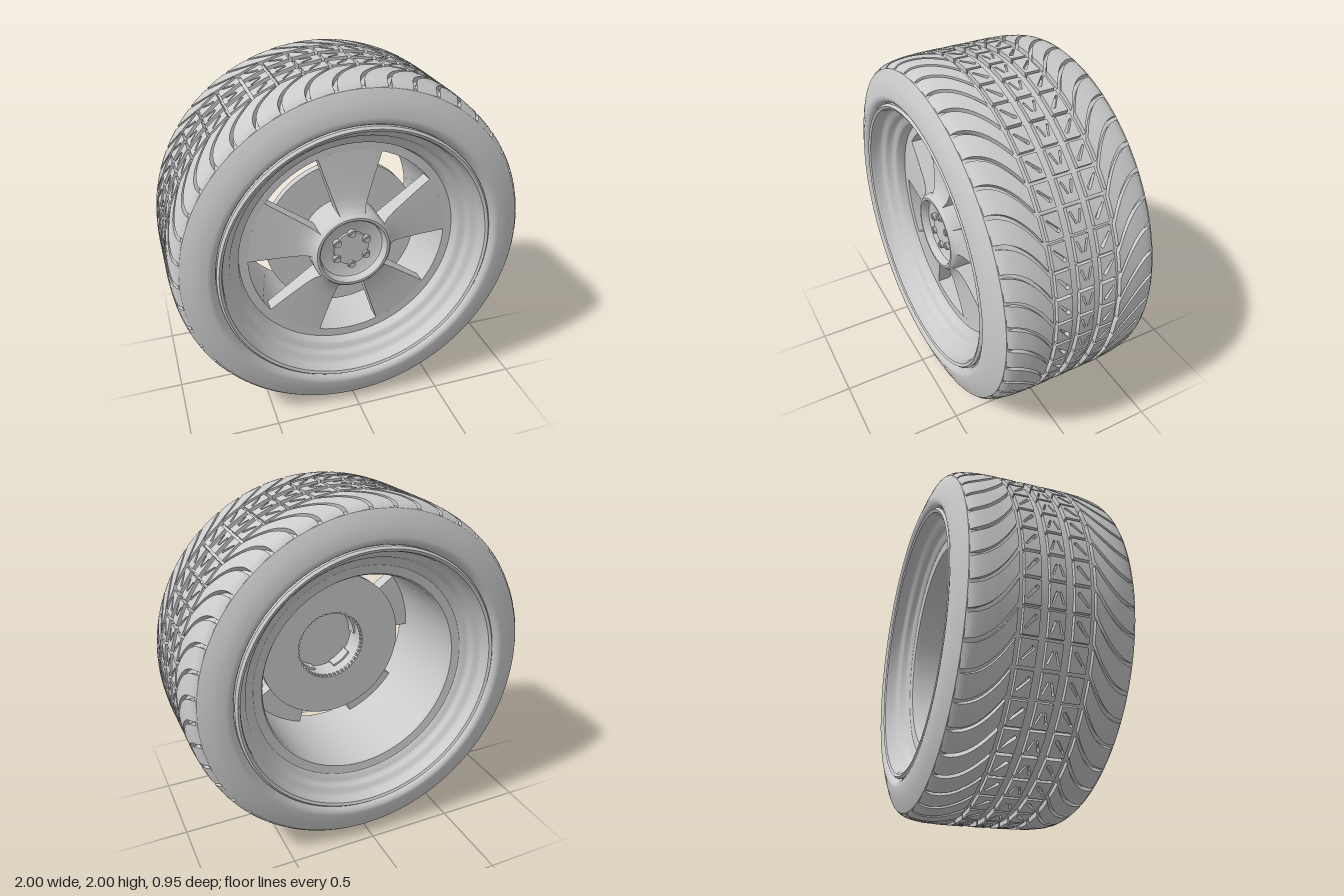
import * as THREE from 'three';
import { mergeGeometries, toCreasedNormals } from 'three/addons/utils/BufferGeometryUtils.js';

const PITCHES = 44, PITCH = (Math.PI * 2) / PITCHES, DEPTH = 0.026;
const solid = new THREE.MeshStandardMaterial({ color: 0xcccccc });
const open = new THREE.MeshStandardMaterial({ color: 0xcccccc, side: THREE.DoubleSide });

// Tread crown: [distance from the middle plane, radius]
const CROWN = [[0, 1], [0.2, 1], [0.3, 0.995], [0.36, 0.986], [0.4, 0.975], [0.425, 0.957], [0.45, 0.895], [0.475, 0.82]];
function crown(z) {
  const a = Math.abs(z);
  for (let i = 1; i < CROWN.length; i++) {
    const [z0, r0] = CROWN[i - 1], [z1, r1] = CROWN[i];
    if (a <= z1) return r0 + ((r1 - r0) * (a - z0)) / (z1 - z0);
  }
  return 0.82;
}
// Groove floor, running out at the shoulder
const floorR = (z) => crown(z) - DEPTH * THREE.MathUtils.clamp((0.43 - Math.abs(z)) / 0.05, 0, 1);

// Surface of revolution about z from [radius, z] points
function turned(points, segments = 96, start = 0, length = Math.PI * 2) {
  const g = new THREE.LatheGeometry(points.map((p) => new THREE.Vector2(p[0], p[1])), segments, start, length);
  return toCreasedNormals(g.rotateX(Math.PI / 2), 0.6);
}

// Bend a flat extrusion (x = angle, y = width, z = height) round the wheel
function wrap(geometry, turn) {
  const p = geometry.attributes.position, n = geometry.attributes.normal;
  for (let i = 0; i < p.count; i++) {
    const a = p.getX(i) + turn, c = Math.cos(a), s = Math.sin(a), r = 1 - DEPTH - 0.005 + p.getZ(i);
    const nx = n.getX(i), ny = n.getY(i), nz = n.getZ(i);
    p.setXYZ(i, r * c, r * s, p.getY(i));
    n.setXYZ(i, nz * c - nx * s, nz * s + nx * c, ny);
  }
  return geometry;
}

// Teardrop slot from one point to another
function slot(x1, y1, w1, x2, y2, w2) {
  const a = Math.atan2(y2 - y1, x2 - x1), path = new THREE.Path();
  path.absarc(x2, y2, w2, a - Math.PI / 2, a + Math.PI / 2);
  path.absarc(x1, y1, w1, a + Math.PI / 2, a + Math.PI * 1.5);
  return path.closePath();
}

// Rib block with slots
function ribBlock(z0, z1, slots, turn) {
  const h = PITCH / 2 - 0.008;
  const shape = new THREE.Shape([[-h, z0], [h, z0], [h, z1], [-h, z1]].map((p) => new THREE.Vector2(...p)));
  shape.holes.push(...slots);
  const g = new THREE.ExtrudeGeometry(shape, { depth: DEPTH + 0.005, bevelEnabled: false, curveSegments: 4 });
  return wrap(g, turn);
}

// Swept shoulder block, lofted across the tread
function shoulderBlock(side, turn) {
  const N = 12, pos = [], idx = [];
  for (let i = 0; i <= N; i++) {
    const t = side > 0 ? i / N : 1 - i / N, z = side * (0.195 + 0.235 * t);
    const mid = turn + 0.2 * (1 - (1 - t) ** 2.2), half = (PITCH - 0.03 + 0.01 * t) / 2;
    const top = crown(z), low = floorR(z) - 0.006;
    for (const [k, r] of [[-1, low], [-1, top], [0, top], [1, top], [1, low]]) {
      const a = mid + k * half;
      pos.push(r * Math.cos(a), r * Math.sin(a), z);
    }
  }
  for (let i = 0; i < N; i++) for (let j = 0; j < 4; j++) {
    const a = i * 5 + j, d = a + 5;
    idx.push(a, a + 1, d + 1, a, d + 1, d);
  }
  for (let k = 1; k < 4; k++) idx.push(0, k + 1, k, N * 5, N * 5 + k, N * 5 + k + 1);
  const g = new THREE.BufferGeometry();
  g.setAttribute('position', new THREE.Float32BufferAttribute(pos, 3));
  g.setIndex(idx);
  return toCreasedNormals(g, 0.6);
}

export function createModel() {
  const model = new THREE.Group();
  const wheel = new THREE.Group();
  wheel.name = 'wheel';
  wheel.position.y = 1;
  model.add(wheel);
  const add = (name, geometry, material = solid) => {
    const mesh = new THREE.Mesh(geometry, material);
    mesh.name = name;
    wheel.add(mesh);
  };

  // Tyre carcass
  const half = [0, 0.2, 0.3, 0.36, 0.38, 0.4, 0.425, 0.43, 0.45, 0.475].map((z) => [floorR(z), z]);
  half.push([0.8, 0.473], [0.785, 0.462], [0.775, 0.445], [0.765, 0.41]);
  const mirrored = half.slice(1).reverse().map(([r, z]) => [r, -z]);
  add('tyre', turned([...mirrored, ...half], 132));

  // Tread
  const centre = [], sideRibs = [], shoulders = [];
  for (let i = 0; i < PITCHES; i++) {
    const a = i * PITCH;
    const vee = [1, -1].map((m) => slot(0.035, m * 0.027, 0.005, -0.018, m * 0.009, 0.004));
    centre.push(ribBlock(-0.041, 0.041, vee, a));
    for (const m of [1, -1]) {
      const pin = slot(0.03, m * 0.153, 0.005, -0.025, m * 0.107, 0.01);
      sideRibs.push(ribBlock(Math.min(m * 0.085, m * 0.168), Math.max(m * 0.085, m * 0.168), [pin], a));
      shoulders.push(shoulderBlock(m, a));
    }
  }
  add('centreRib', mergeGeometries(centre));
  add('sideRibs', mergeGeometries(sideRibs));
  add('shoulderBlocks', mergeGeometries(shoulders));

  // Rim: stepped flanges either side of a deep barrel
  const flange = [
    [0.77, 0.42], [0.772, 0.455], [0.76, 0.468], [0.745, 0.46], [0.738, 0.44], [0.733, 0.405], [0.72, 0.39],
    [0.7, 0.383], [0.69, 0.37], [0.683, 0.35], [0.67, 0.34], [0.645, 0.335], [0.635, 0.325],
  ];
  const rear = flange.map(([r, z]) => [r, -z]).reverse();
  add('rim', turned([...flange, [0.625, 0.28], [0.6, 0.28], [0.575, 0.28], [0.575, -0.3], [0.585, -0.318], ...rear]), open);

  // Five spokes: turned sectors closed by flat walls
  const section = [[0.575, 0.2], [0.575, 0.28], [0.45, 0.288], [0.32, 0.3], [0.26, 0.313], [0.235, 0.33], [0.22, 0.345], [0.2, 0.345], [0.2, 0.2], [0.575, 0.2]];
  const wall = new THREE.Shape(section.map((p) => new THREE.Vector2(...p)));
  for (let k = 0; k < 5; k++) {
    const mid = Math.PI + (k * Math.PI * 2) / 5, w = Math.PI / 10;
    add('spoke', turned(section, 12, mid - w, w * 2), open);
    for (const phi of [mid - w, mid + w]) {
      const out = new THREE.Vector3(Math.sin(phi), -Math.cos(phi), 0), axis = new THREE.Vector3(0, 0, 1);
      const frame = new THREE.Matrix4().makeBasis(out, axis, out.clone().cross(axis));
      add('spokeWall', new THREE.ShapeGeometry(wall).applyMatrix4(frame), open);
    }
  }

  // Hub: collar, raised lip and dished cap
  add('hub', turned([
    [0.23, 0.12], [0.23, 0.325], [0.222, 0.347], [0.21, 0.358], [0.197, 0.358], [0.188, 0.348], [0.183, 0.315],
    [0.17, 0.308], [0, 0.308],
  ], 64), open);
  add('hubBoss', new THREE.CylinderGeometry(0.1, 0.104, 0.012, 32).rotateX(Math.PI / 2).translate(0, 0, 0.313));
  for (let i = 0; i < 6; i++) {
    const a = Math.PI / 2 + (i * Math.PI) / 3, x = 0.098 * Math.cos(a), y = 0.098 * Math.sin(a);
    add('nut', new THREE.CylinderGeometry(0.023, 0.025, 0.022, 6).rotateX(Math.PI / 2).translate(x, y, 0.322));
    add('stud', new THREE.CylinderGeometry(0.013, 0.013, 0.01, 16).rotateX(Math.PI / 2).translate(x, y, 0.334));
  }

  // Brake disc with an open bore behind the hub
  add('brakeDisc', turned([[0.212, 0.1], [0.45, 0.1], [0.45, 0.145], [0.212, 0.145]], 80), open);
  add('bore', turned([[0.212, 0.1], [0.212, 0.27], [0, 0.27]], 64), open);
  const teeth = [];
  for (let i = 0; i < 48; i++) {
    const g = new THREE.BoxGeometry(0.012, 0.014, 0.016).translate(0.207, 0, 0.115);
    teeth.push(g.rotateZ((i * Math.PI) / 24));
  }
  add('boreTeeth', mergeGeometries(teeth));

  return model;
}
